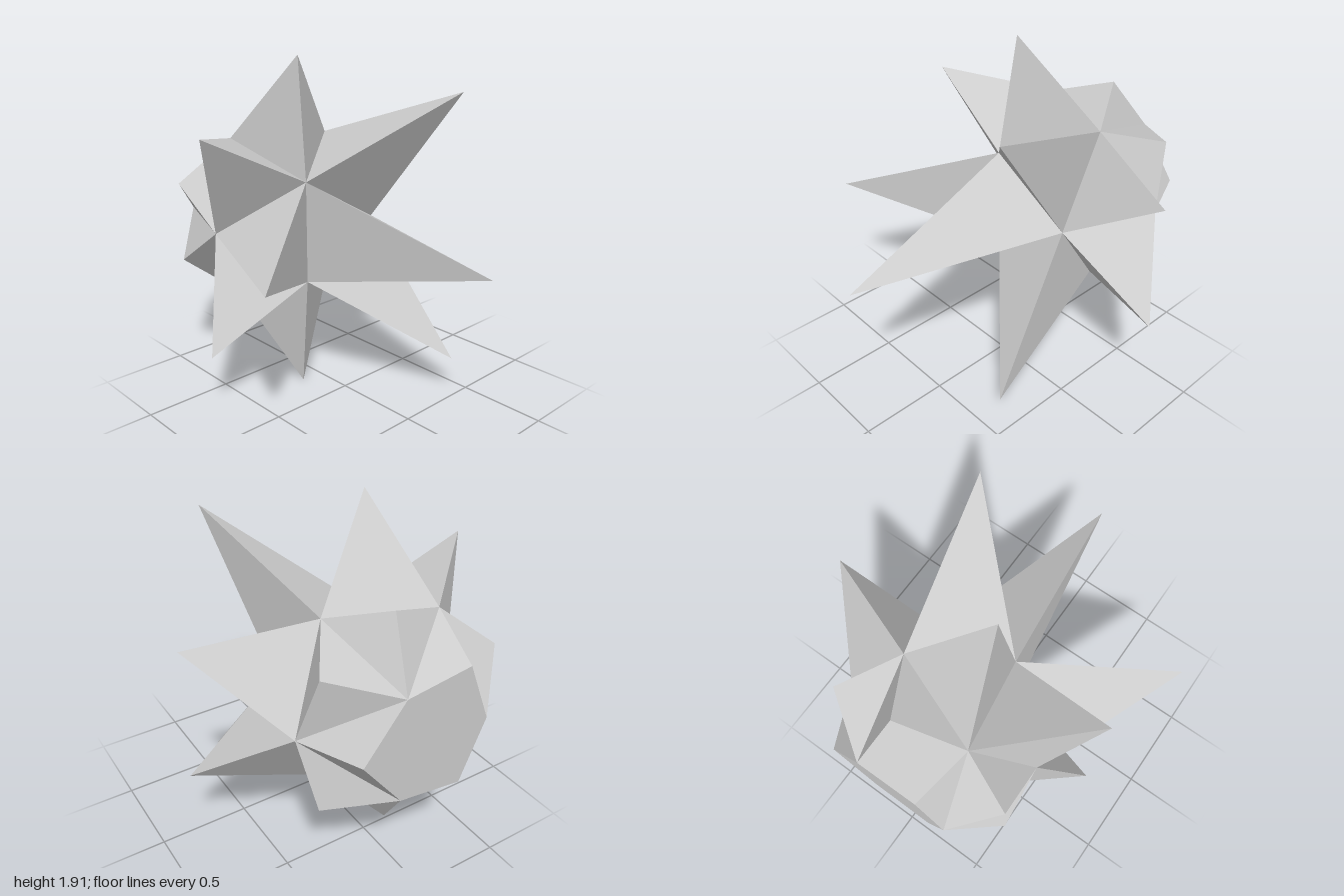
import * as THREE from 'three';

const INRADIUS = 0.435; // centre of the core to each of its faces
const CENTRE = new THREE.Vector3(0, 0.957, -0.565);

// Spike rings, front to back: lowest facing value (z of the face normal) and tip distance from the centre
const RINGS = [
  { name: 'frontSpike', facing: 0.9, reach: 1.565 },
  { name: 'frontRingSpike', facing: 0.6, reach: 1.335 },
  { name: 'middleRingSpike', facing: 0, reach: 1.02 },
  { name: 'rearRingSpike', facing: -0.5, reach: 0.64 },
  { name: 'backRingSpike', facing: -0.9, reach: INRADIUS / 0.7454 }, // tips level with the flat back
  { name: 'flatBack', facing: -2, reach: INRADIUS },
];

// The 20 triangles of an icosahedron, turned so one face looks along +z with a corner towards +x
function coreFaces() {
  const pos = new THREE.IcosahedronGeometry(INRADIUS / 0.794654, 0).getAttribute('position');
  const pts = [];
  for (let i = 0; i < pos.count; i++) pts.push(new THREE.Vector3().fromBufferAttribute(pos, i));
  const mid = pts[0].clone().add(pts[1]).add(pts[2]).divideScalar(3);
  const x = pts[0].clone().sub(mid).normalize();
  const z = mid.clone().normalize();
  const y = z.clone().cross(x);
  const turn = new THREE.Matrix4().makeBasis(x, y, z).transpose();
  pts.forEach((p) => p.applyMatrix4(turn));
  const faces = [];
  for (let i = 0; i < pts.length; i += 3) faces.push(pts.slice(i, i + 3));
  return faces;
}

// Three sides rising from a core triangle to a tip
function spikeGeometry([a, b, c], tip) {
  const geometry = new THREE.BufferGeometry().setFromPoints([a, b, tip, b, c, tip, c, a, tip]);
  geometry.computeVertexNormals();
  return geometry;
}

export function createModel() {
  const model = new THREE.Group();
  model.name = 'spikedStar';
  const grey = new THREE.MeshStandardMaterial({ color: 0xcccccc, flatShading: true });
  grey.name = 'plain grey';

  const groups = RINGS.map((ring) => {
    const group = new THREE.Group();
    group.name = ring.name + 's';
    group.position.copy(CENTRE);
    model.add(group);
    return group;
  });

  // One spike on every core face, its length set by how far the face looks forward
  for (const face of coreFaces()) {
    const normal = face[0].clone().add(face[1]).add(face[2]).normalize();
    const index = RINGS.findIndex((ring) => normal.z > ring.facing);
    const tip = normal.multiplyScalar(RINGS[index].reach);
    const spike = new THREE.Mesh(spikeGeometry(face, tip), grey);
    spike.name = RINGS[index].name;
    groups[index].add(spike);
  }
  return model;
}
